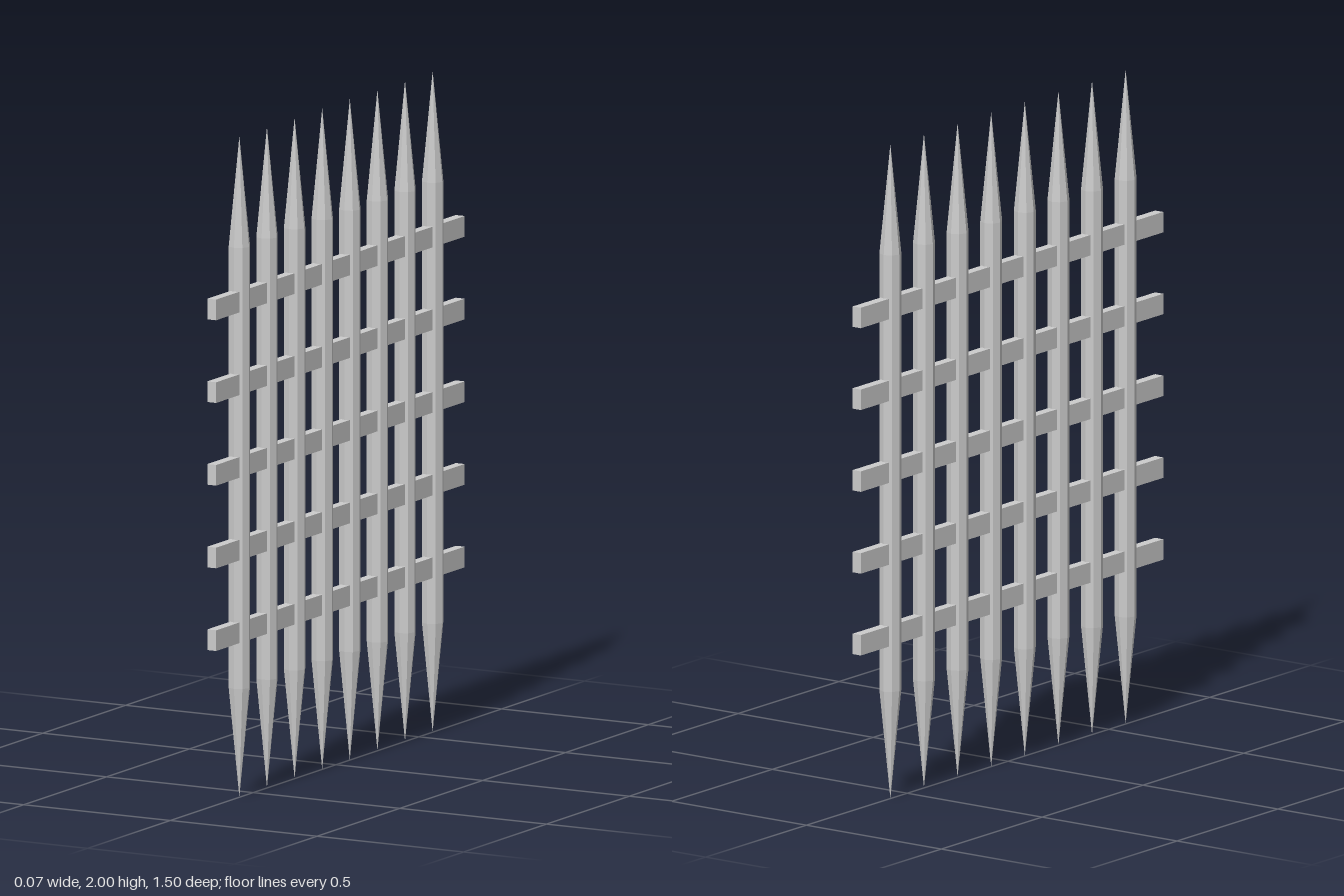
import * as THREE from 'three';

export function createModel() {
  const group = new THREE.Group();
  const material = new THREE.MeshStandardMaterial({ color: 0xcccccc, flatShading: true });

  // Upright pickets, sharpened at both ends
  const radius = 0.033;
  const profile = [[0, 0], [radius, 0.333], [radius, 1.667], [0, 2]]
    .map(([r, y]) => new THREE.Vector2(r, y));
  const picketGeometry = new THREE.LatheGeometry(profile, 8);
  for (let i = 0; i < 8; i++) {
    const picket = new THREE.Mesh(picketGeometry, material);
    picket.name = `picket${i + 1}`;
    picket.position.z = (i - 3.5) / 6;
    group.add(picket);
  }

  // Horizontal rails running through the pickets
  const railGeometry = new THREE.BoxGeometry(0.03, 0.0625, 1.5);
  for (let i = 0; i < 5; i++) {
    const rail = new THREE.Mesh(railGeometry, material);
    rail.name = `rail${i + 1}`;
    rail.position.y = 0.503 + i * 0.25;
    group.add(rail);
  }

  return group;
}
